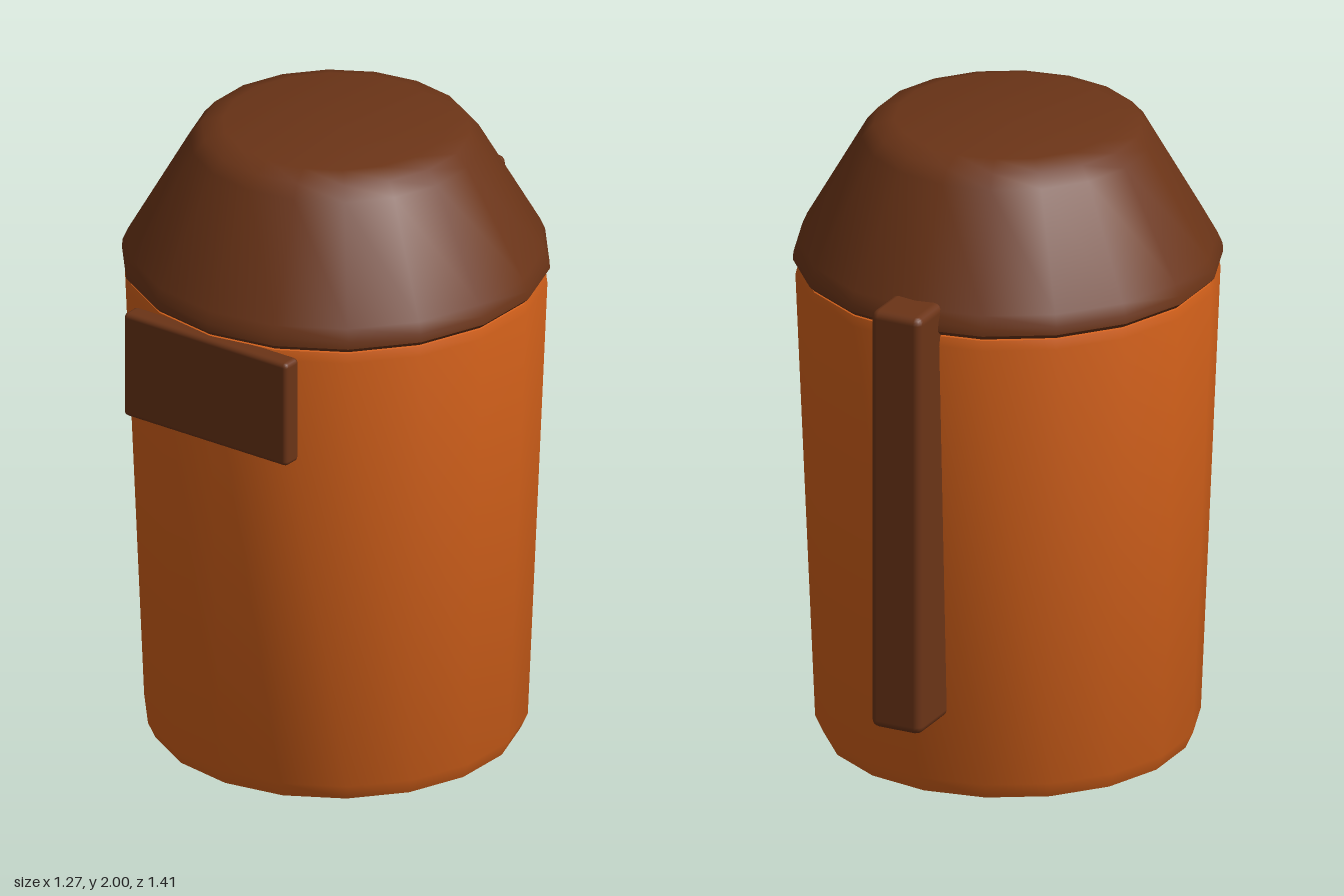
import * as THREE from 'three';
import { toCreasedNormals } from 'three/addons/utils/BufferGeometryUtils.js';
import { RoundedBoxGeometry } from 'three/addons/geometries/RoundedBoxGeometry.js';

const SIDES = 18;
const CENTRE_Z = 0.045;

export function createModel() {
  const model = new THREE.Group();
  const orange = new THREE.MeshStandardMaterial({ color: 0xd2601a });
  const brown = new THREE.MeshStandardMaterial({ color: 0x6b3417 });

  const add = (name, geometry, material, x, y, z) => {
    const mesh = new THREE.Mesh(geometry, material);
    mesh.name = name;
    mesh.position.set(x, y, z);
    model.add(mesh);
  };

  // Solid turned around the vertical axis from [radius, height] pairs
  const turned = (profile) => {
    const points = profile.map(([r, y]) => new THREE.Vector2(r, y));
    return toCreasedNormals(new THREE.LatheGeometry(points, SIDES), 0.62);
  };

  // Softly bevelled box given by its extents
  const box = (name, [x0, x1], [y0, y1], [z0, z1], bevel) => {
    const geometry = new RoundedBoxGeometry(x1 - x0, y1 - y0, z1 - z0, 2, bevel);
    add(name, geometry, brown, (x0 + x1) / 2, (y0 + y1) / 2, (z0 + z1) / 2);
  };

  // Tapered container with a rounded base
  add('body', turned([
    [0, 0], [0.5, 0], [0.555, 0.02], [0.578, 0.07],
    [0.637, 1.5], [0.63, 1.53], [0.6, 1.54], [0, 1.54],
  ]), orange, 0, 0, CENTRE_Z);

  // Conical lid with a thin bevelled rim and rounded top edge
  add('lid', turned([
    [0, 1.535], [0.63, 1.535], [0.645, 1.55], [0.643, 1.575], [0.628, 1.61],
    [0.44, 1.94], [0.405, 1.98], [0.34, 2], [0, 2],
  ]), brown, 0, 0, CENTRE_Z);

  // Plate on the front and upright bar on the back
  box('frontPlate', [-0.305, 0.305], [1.19, 1.53], [0.637, 0.703], 0.015);
  box('backHandle', [-0.085, 0.085], [0.28, 1.63], [-0.703, -0.5], 0.025);

  return model;
}
